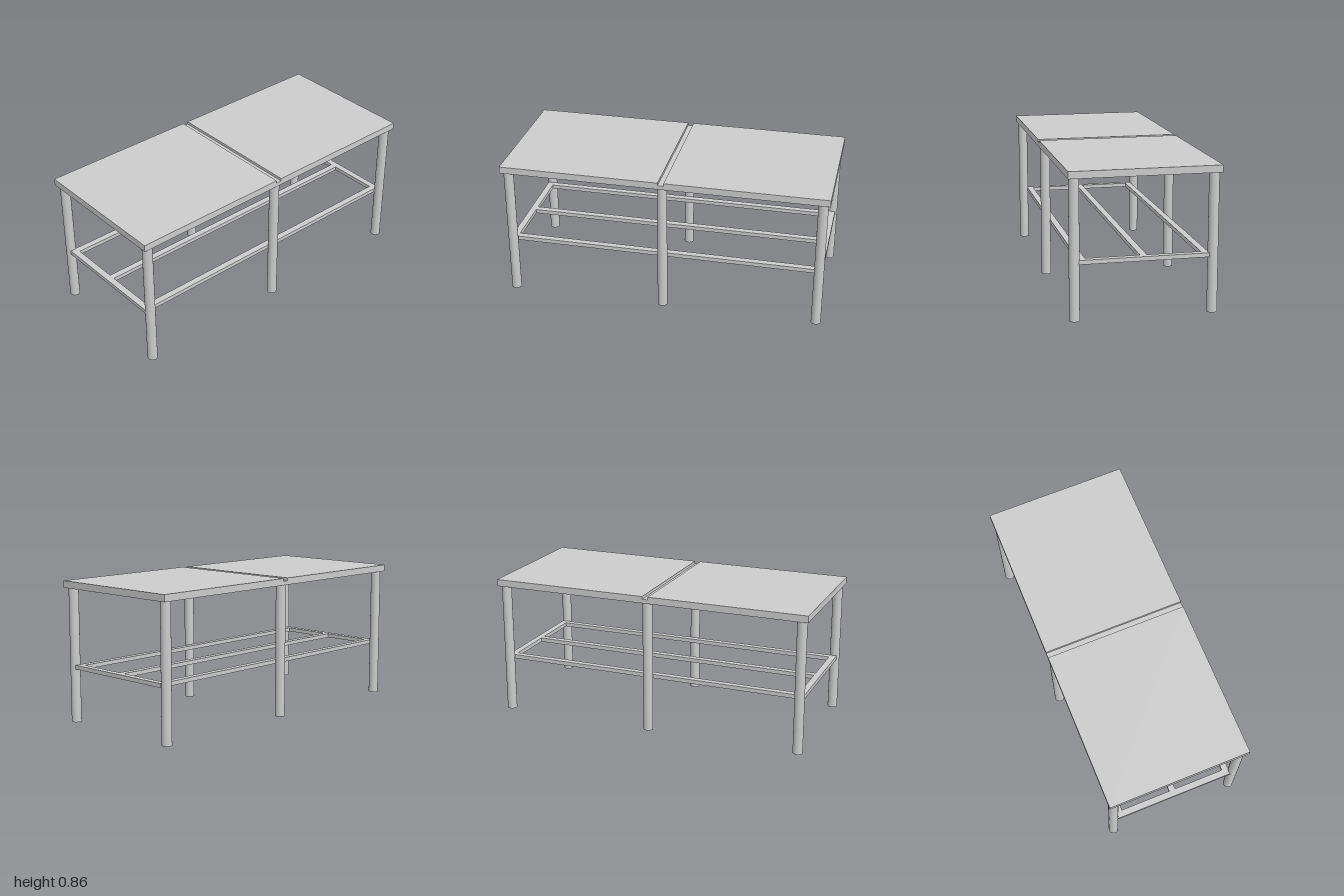
import * as THREE from 'three';

export function createModel() {
  const group = new THREE.Group();
  group.name = 'workTable';
  const material = new THREE.MeshStandardMaterial({ color: 0xcccccc });

  const add = (name, geometry, x, y, z) => {
    const mesh = new THREE.Mesh(geometry, material);
    mesh.name = name;
    mesh.position.set(x, y, z);
    group.add(mesh);
    return mesh;
  };

  // Table top: side profile with a shallow groove across the middle
  const halfWidth = 0.4385, under = 0.818, top = 0.86, grooveY = 0.843, groove = 0.018;
  const profile = new THREE.Shape([
    [-1, under], [1, under], [1, top], [groove, top],
    [groove, grooveY], [-groove, grooveY], [-groove, top], [-1, top],
  ].map(([z, y]) => new THREE.Vector2(z, y)));
  const topGeometry = new THREE.ExtrudeGeometry(profile, { depth: halfWidth * 2, bevelEnabled: false });
  topGeometry.translate(0, 0, -halfWidth);
  add('tableTop', topGeometry, 0, 0, 0).rotation.y = Math.PI / 2;

  // Three pairs of round legs
  const legGeometry = new THREE.CylinderGeometry(0.03, 0.03, under, 32);
  for (const x of [-0.4, 0.4]) {
    for (const z of [-0.956, 0, 0.956]) add('leg', legGeometry, x, under / 2, z);
  }

  // Lower frame: two end rails joined by two side rails and a centre rail
  const railWidth = 0.04, railHeight = 0.025, railY = 0.34;
  const outerX = 0.375, outerZ = 0.975;
  const endGeometry = new THREE.BoxGeometry(outerX * 2, railHeight, railWidth);
  const longGeometry = new THREE.BoxGeometry(railWidth, railHeight, (outerZ - railWidth) * 2);
  for (const side of [-1, 1]) {
    add('endRail', endGeometry, 0, railY, side * (outerZ - railWidth / 2));
    add('sideRail', longGeometry, side * (outerX - railWidth / 2), railY, 0);
  }
  add('centreRail', longGeometry, 0, railY, 0);

  return group;
}
